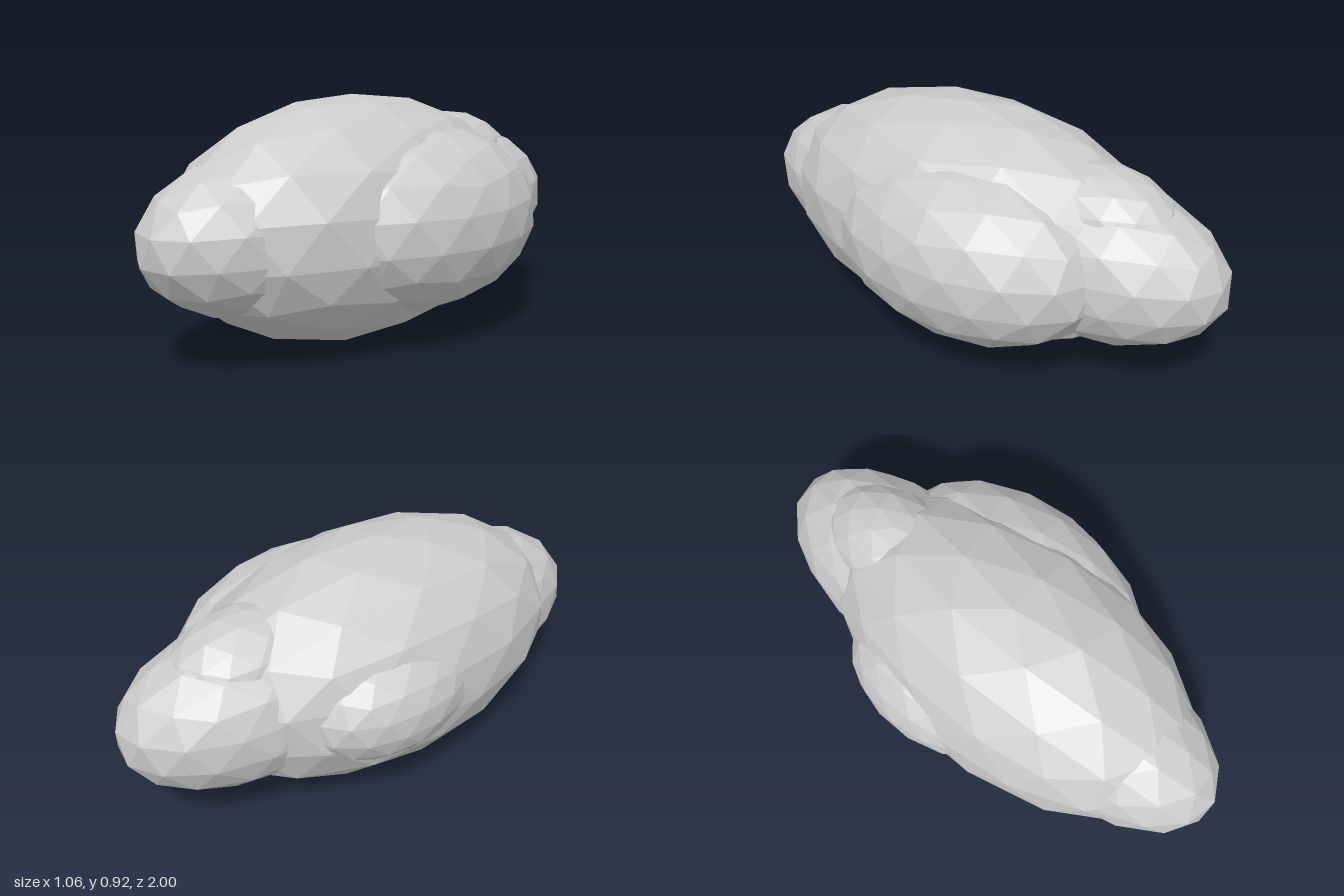
import * as THREE from 'three';

const material = new THREE.MeshStandardMaterial({ color: 0xcccccc, flatShading: true });

// Low-poly ellipsoid with a vertex at the top and one edge ring leading to +x
function lobe(name, [x, y, z], radius, length) {
  const geometry = new THREE.IcosahedronGeometry(1, 2);
  geometry.rotateZ(-Math.atan(2 / (1 + Math.sqrt(5))));
  geometry.scale(radius, radius, length);
  geometry.computeVertexNormals();
  const mesh = new THREE.Mesh(geometry, material);
  mesh.name = name;
  mesh.position.set(x, y, z);
  return mesh;
}

export function createModel() {
  const group = new THREE.Group();
  group.name = 'lobedBody';
  group.add(
    // Large central mass
    lobe('mainBody', [-0.03, 0.461, 0.067], 0.461, 0.82),
    // Matching end lobes
    lobe('frontLobe', [-0.03, 0.46, 0.462], 0.307, 0.55),
    lobe('rearLobe', [-0.03, 0.46, -0.462], 0.307, 0.55),
    // Side lobes, the left one larger
    lobe('leftLobe', [0.187, 0.46, -0.08], 0.347, 0.565),
    lobe('rightLobe', [-0.306, 0.46, -0.09], 0.232, 0.365),
    // Small bump over the rear
    lobe('upperRearBump', [-0.035, 0.6, -0.483], 0.22, 0.335)
  );
  return group;
}
